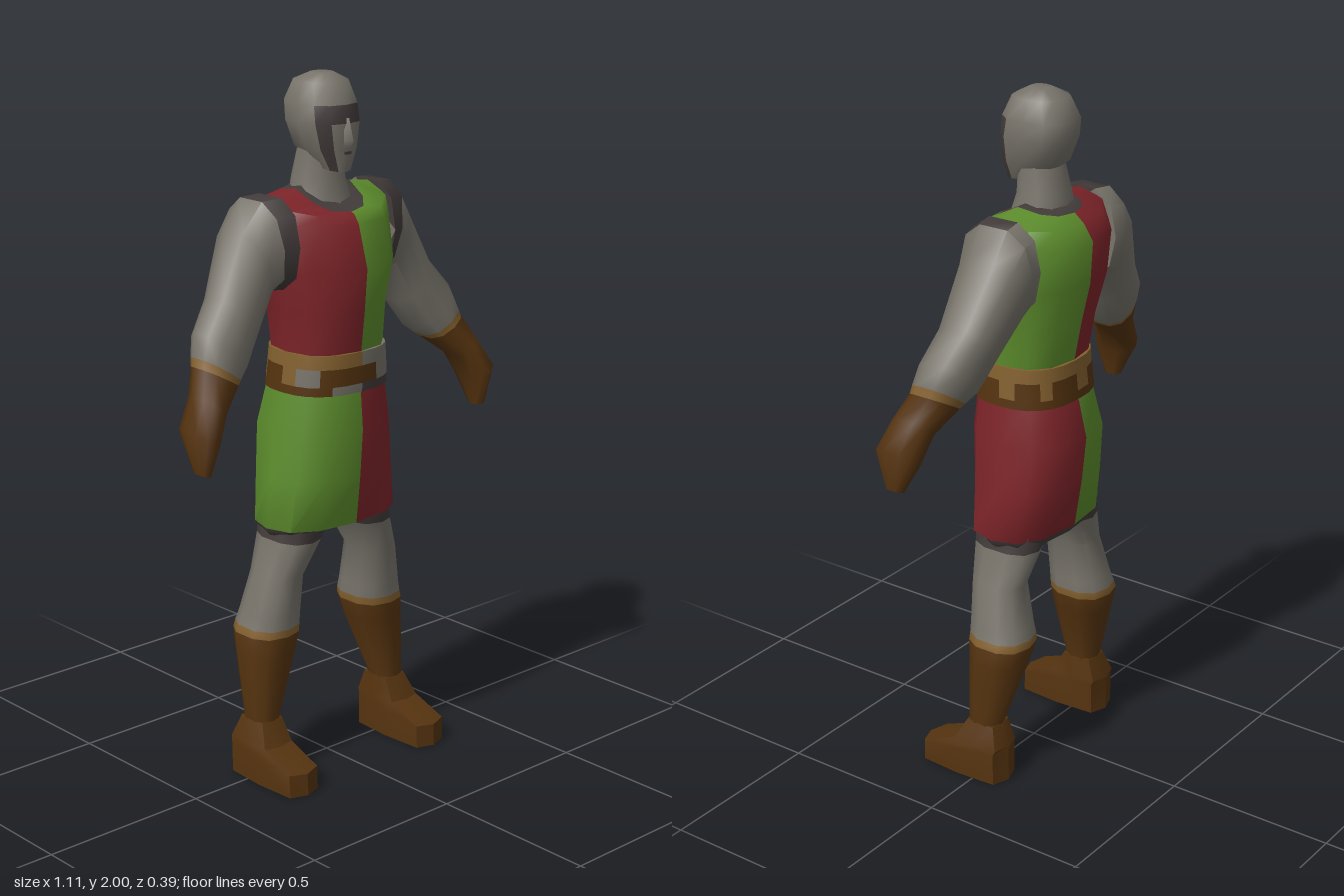
import * as THREE from 'three';
import { toCreasedNormals } from 'three/addons/utils/BufferGeometryUtils.js';

const mat = (name, color) => {
  const m = new THREE.MeshStandardMaterial({ color });
  m.name = name;
  return m;
};

export function createModel() {
  const model = new THREE.Group();
  model.name = 'tunicWarrior';
  const grey = mat('chainGrey', 0x77736a), red = mat('clothRed', 0x7d2429);
  const green = mat('clothGreen', 0x5c8c2c), brown = mat('leatherBrown', 0x55330f);
  const dark = mat('shadowGrey', 0x423b3a), tan = mat('trimTan', 0x83602f);

  // Ring: [xInner, yInner, xOuter, yOuter, zFront, zBack, dropFront, dropBack], stacked bottom to top.
  // pick(i, j) gives the material of segment j between rings i and i + 1.
  function loft(name, rings, pick, { n = 10, p = 0.8, side = 1, crease = 1.0, caps = true } = {}) {
    const pos = [], faces = new Map();
    const pw = v => Math.sign(v) * Math.abs(v) ** p;
    const tri = (m, a, b, c) => {
      if (!faces.has(m)) faces.set(m, []);
      faces.get(m).push(...(side > 0 ? [a, b, c] : [a, c, b]));
    };
    rings.forEach(([x0, y0, x1, y1, zf, zb, df = 0, db = 0]) => {
      for (let j = 0; j < n; j++) {
        const a = j / n * Math.PI * 2, t = (pw(Math.sin(a)) + 1) / 2, c = pw(Math.cos(a));
        const drop = c > 0 ? df * c : -db * c;
        pos.push(side * (x0 + (x1 - x0) * t), y0 + (y1 - y0) * t - drop, (zf + zb) / 2 + c * (zf - zb) / 2);
      }
    });
    for (let i = 0; i < rings.length - 1; i++) {
      for (let j = 0; j < n; j++) {
        const k = (j + 1) % n, a = i * n + j, b = i * n + k, m = pick(i, j);
        tri(m, a, b, b + n);
        tri(m, a, b + n, a + n);
      }
    }
    if (caps) {
      const top = (rings.length - 1) * n;
      for (let j = 1; j < n - 1; j++) {
        tri(pick(0, j), 0, j + 1, j);
        tri(pick(rings.length - 2, j), top, top + j, top + j + 1);
      }
    }
    let geo = new THREE.BufferGeometry();
    const index = [], mats = [...faces.keys()];
    mats.forEach((m, k) => {
      geo.addGroup(index.length, faces.get(m).length, k);
      index.push(...faces.get(m));
    });
    geo.setAttribute('position', new THREE.Float32BufferAttribute(pos, 3));
    geo.setIndex(index);
    geo = toCreasedNormals(geo, crease);
    const mesh = new THREE.Mesh(geo, mats);
    mesh.name = name;
    model.add(mesh);
    return mesh;
  }
  // Level ring, symmetric about x = 0
  const lv = (y, w, zf, zb, df, db) => [-w, y, w, y, zf, zb, df, db];

  // Parted tunic with a dark neckline
  loft('tunicTop', [
    lv(1.23, 0.155, 0.14, -0.135), lv(1.36, 0.16, 0.155, -0.16), lv(1.48, 0.19, 0.165, -0.188),
    lv(1.6, 0.2, 0.13, -0.195), lv(1.675, 0.195, 0.112, -0.165, 0.05, 0.03),
    lv(1.69, 0.1, 0.1, -0.135, 0.06, 0.02), lv(1.695, 0.07, 0.06, -0.11, 0.05, 0.01),
  ], (i, j) => i === 5 ? dark : j < 6 ? green : red, { n: 12 });

  // Skirt in swapped colours, with a dark underside
  loft('skirt', [
    lv(0.745, 0.08, 0.05, -0.06), lv(0.715, 0.205, 0.105, -0.125, -0.02, 0), lv(0.74, 0.222, 0.125, -0.142),
    lv(0.88, 0.202, 0.14, -0.165), lv(1.02, 0.186, 0.15, -0.18), lv(1.14, 0.165, 0.14, -0.15),
  ], (i, j) => i < 2 ? dark : j < 6 ? red : green, { n: 12 });

  // Belt with trim tabs, buckle patches and dark lower edge in front
  loft('belt', [
    lv(1.13, 0.17, 0.146, -0.152), lv(1.155, 0.168, 0.147, -0.15),
    lv(1.205, 0.164, 0.147, -0.145), lv(1.245, 0.16, 0.146, -0.143),
  ], (i, j) => {
    const front = j < 5 || j > 18;
    const plate = (j > 0 && j < 4) || j === 19 || j === 20;
    if (i === 0) return j < 3 ? dark : j > 21 ? grey : brown;
    if (i === 1) return front && plate ? grey : !front && j % 3 === 0 ? tan : brown;
    return front && j < 5 ? grey : tan;
  }, { n: 24 });

  // Neck and helmeted head
  loft('neck', [lv(1.63, 0.088, 0.06, -0.115), lv(1.71, 0.073, 0.035, -0.105), lv(1.8, 0.065, 0.03, -0.08)], () => grey);
  loft('head', [
    lv(1.745, 0.038, 0.08, -0.06, 0.008, -0.03), lv(1.8, 0.073, 0.086, -0.1), lv(1.87, 0.09, 0.088, -0.125),
    lv(1.92, 0.088, 0.08, -0.13), lv(1.978, 0.07, 0.052, -0.1), lv(2.0, 0.03, 0.01, -0.05),
  ], (i, j) => (i === 2 && (j < 2 || j > 9)) || (i < 2 && (j === 1 || j === 10)) ? dark : grey, { n: 12 });
  loft('nose', [lv(1.805, 0.014, 0.095, 0.07), lv(1.825, 0.018, 0.108, 0.07), lv(1.885, 0.008, 0.09, 0.07)],
    () => grey, { n: 4, p: 1 });
  const mouth = new THREE.Mesh(new THREE.BoxGeometry(0.022, 0.008, 0.006), dark);
  mouth.name = 'mouth';
  mouth.position.set(0, 1.79, 0.085);
  model.add(mouth);

  for (const side of [1, -1]) {
    const s = side > 0 ? 'left' : 'right';

    // Gloved hand up to the shoulder, with a dark armhole edge in front
    loft(s + 'Arm', [
      [0.508, 0.98, 0.54, 0.99, 0.11, 0.055], [0.487, 1.065, 0.556, 1.11, 0.14, 0],
      [0.445, 1.135, 0.512, 1.19, 0.115, -0.01], [0.368, 1.195, 0.482, 1.26, 0.085, -0.045],
      [0.355, 1.205, 0.477, 1.285, 0.082, -0.055], [0.325, 1.23, 0.455, 1.345, 0.077, -0.08],
      [0.27, 1.315, 0.386, 1.43, 0.06, -0.105], [0.215, 1.41, 0.3, 1.6, 0.055, -0.147],
      [0.2, 1.42, 0.24, 1.68, 0.075, -0.157], [0.175, 1.42, 0.18, 1.685, 0.09, -0.15],
    ], (i, j) => i < 3 ? brown : i === 3 ? tan : i === 8 && (j < 3 || j > 7) ? dark : grey, { side });

    // Boot shaft, knee and thigh
    loft(s + 'Leg', [
      [0.2, 0.14, 0.285, 0.14, 0.042, -0.062], [0.2, 0.18, 0.287, 0.18, 0.042, -0.062],
      [0.13, 0.37, 0.29, 0.37, 0.052, -0.115], [0.118, 0.425, 0.287, 0.425, 0.058, -0.13],
      [0.117, 0.447, 0.28, 0.447, 0.058, -0.127], [0.119, 0.48, 0.27, 0.48, 0.06, -0.118],
      [0.12, 0.6, 0.242, 0.6, 0.068, -0.092], [0.065, 0.7, 0.205, 0.7, 0.09, -0.113],
      [0.03, 0.76, 0.2, 0.76, 0.095, -0.12],
    ], (i) => i < 3 ? brown : i === 3 ? tan : i === 7 ? dark : grey, { side });

    // Boxy boot foot
    loft(s + 'Foot', [
      [0.19, 0, 0.31, 0, 0.198, -0.09], [0.19, 0.085, 0.312, 0.085, 0.195, -0.09, 0.02, -0.015],
      [0.192, 0.11, 0.308, 0.11, 0.08, -0.088], [0.2, 0.175, 0.286, 0.175, 0.042, -0.062],
    ], () => brown, { side, n: 8, p: 0.4, crease: 0.6 });
  }
  return model;
}
